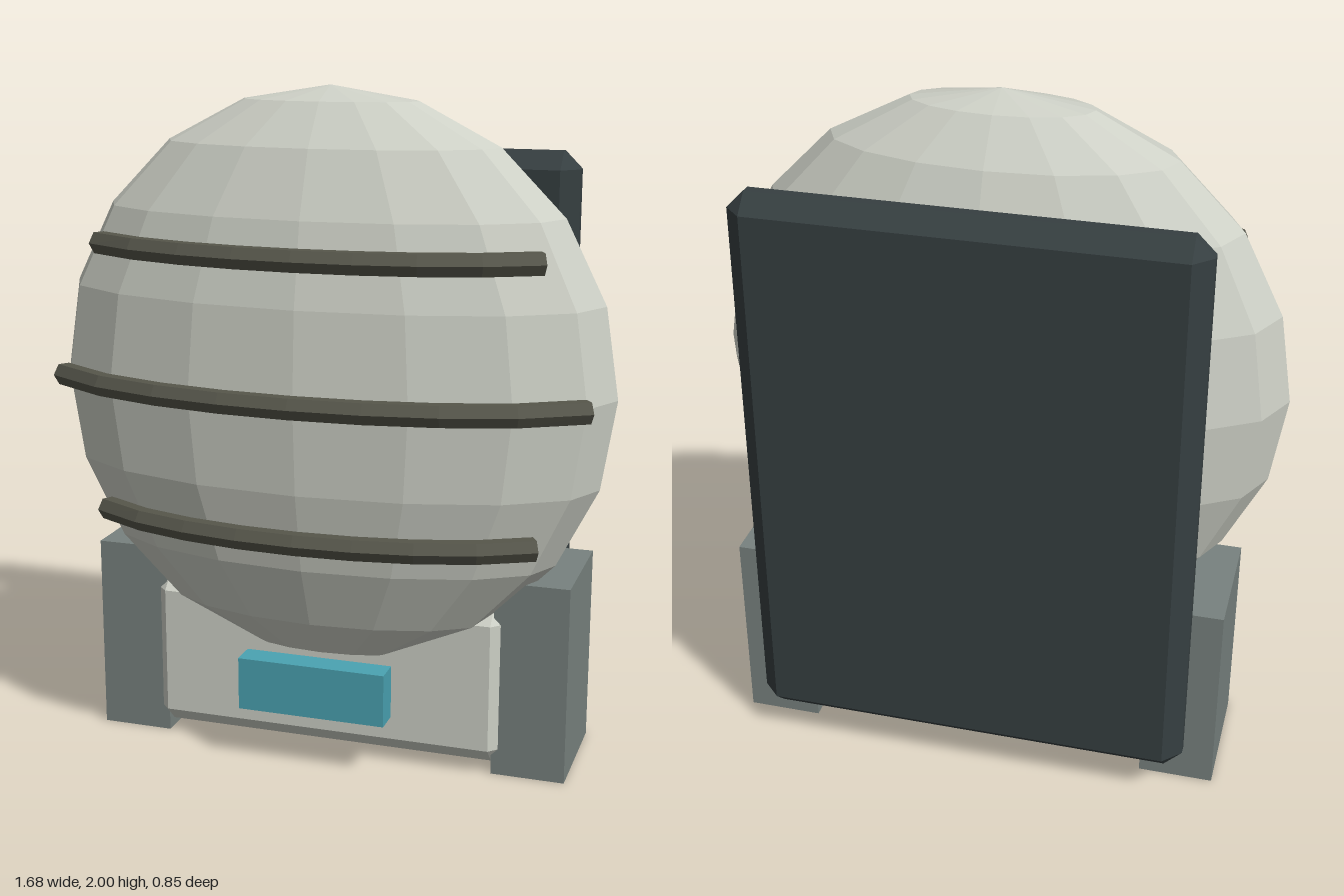
import * as THREE from 'three';
import { ConvexGeometry } from 'three/addons/geometries/ConvexGeometry.js';

const material = (color) => new THREE.MeshStandardMaterial({ color, flatShading: true });
const shell = material(0xcdd0c6);
const dark = material(0x363f41);
const stone = material(0x78827f);
const trim = material(0x56564b);
const teal = material(0x4aa3b2);

// Box with every edge and corner cut off flat
function chamferedBox(w, h, d, c) {
  const points = [];
  for (const sx of [-1, 1]) for (const sy of [-1, 1]) for (const sz of [-1, 1]) {
    const [x, y, z] = [w / 2, h / 2, d / 2];
    points.push(
      new THREE.Vector3(sx * x, sy * (y - c), sz * (z - c)),
      new THREE.Vector3(sx * (x - c), sy * y, sz * (z - c)),
      new THREE.Vector3(sx * (x - c), sy * (y - c), sz * z));
  }
  return new ConvexGeometry(points);
}

// Hexagonal bar following an elliptical arc around the front of the body
function barGeometry(a, c, endX) {
  const path = [];
  for (let i = 0; i <= 16; i++) {
    const x = endX * (i / 8 - 1);
    path.push(new THREE.Vector3(x, 0, 0.02 + c * Math.sqrt(1 - (x / a) ** 2)));
  }
  const hexagon = [];
  for (let i = 0; i < 6; i++) {
    const t = Math.PI / 2 + i * Math.PI / 3;
    hexagon.push(new THREE.Vector2(0.035 * Math.cos(t), 0.035 * Math.sin(t)));
  }
  return new THREE.ExtrudeGeometry(new THREE.Shape(hexagon), {
    steps: 8, bevelEnabled: false, extrudePath: new THREE.CatmullRomCurve3(path),
  });
}

export function createModel() {
  const model = new THREE.Group();
  model.name = 'model';
  const add = (name, geometry, mat, x, y, z) => {
    const mesh = new THREE.Mesh(geometry, mat);
    mesh.name = name;
    mesh.position.set(x, y, z);
    model.add(mesh);
    return mesh;
  };

  // Flattened round body
  const ball = new THREE.SphereGeometry(1, 16, 10).scale(0.84, 0.85, 0.34);
  add('body', ball, shell, 0, 1.15, 0.023);

  // Three curved bars across the front
  add('middleBar', barGeometry(0.87, 0.365, 0.785), trim, 0, 1.15, 0);
  for (const [name, y] of [['upperBar', 1.55], ['lowerBar', 0.75]]) {
    add(name, barGeometry(0.76, 0.33, 0.65), trim, 0, y, 0);
  }

  // Back panel
  add('backPanel', chamferedBox(1.3, 1.7, 0.132, 0.052), dark, 0, 0.95, -0.359);

  // Base with a block at each end
  add('base', chamferedBox(1.12, 0.49, 0.4, 0.05), shell, 0, 0.275, -0.1);
  for (const [name, side] of [['leftFoot', 1], ['rightFoot', -1]]) {
    add(name, new THREE.BoxGeometry(0.22, 0.6, 0.375), stone, side * 0.625, 0.3, -0.113);
  }

  // Small coloured display in front of the base
  add('display', new THREE.BoxGeometry(0.45, 0.16, 0.08), teal, 0, 0.25, 0.182);

  return model;
}
